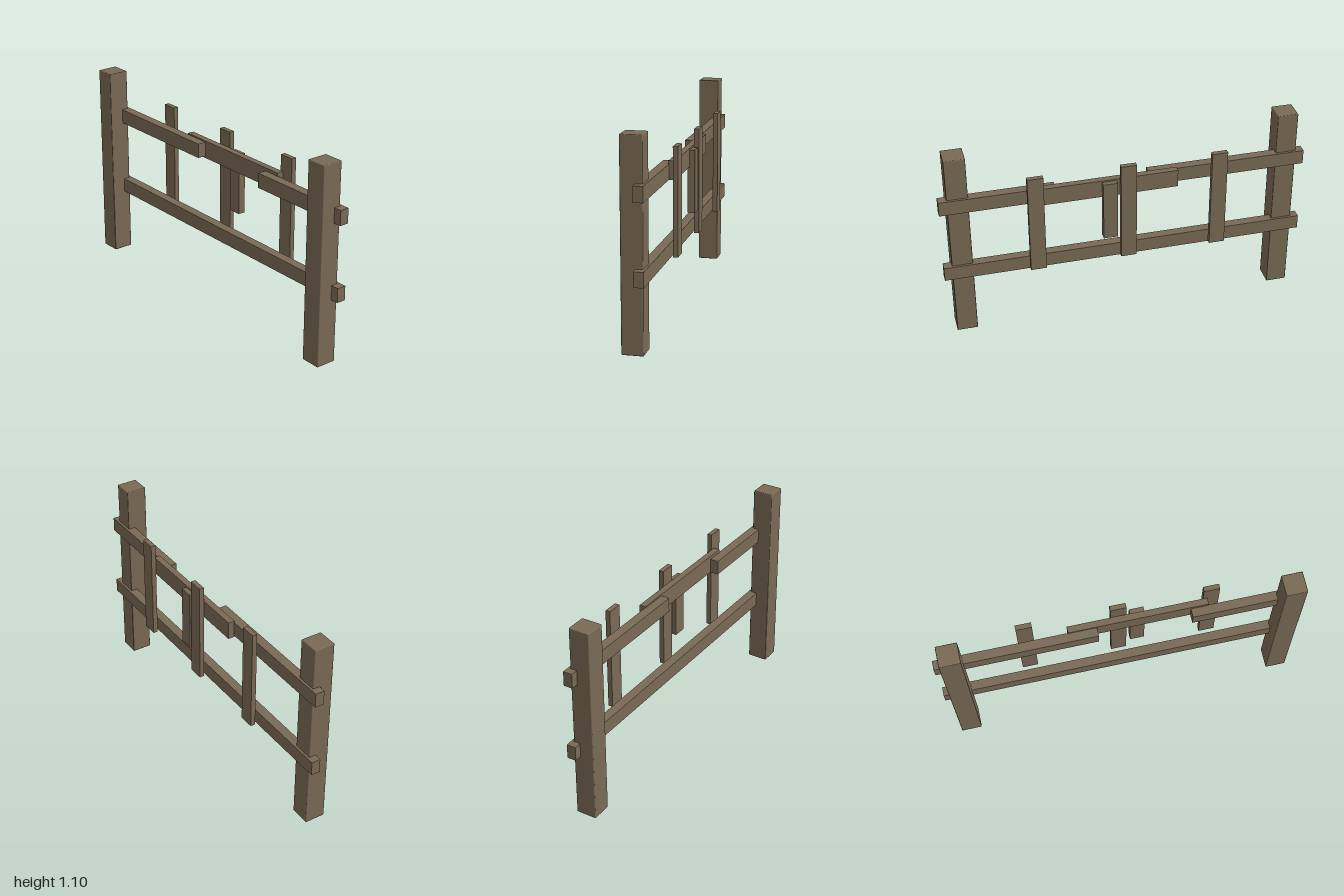
import * as THREE from 'three';
import { RoundedBoxGeometry } from 'three/addons/geometries/RoundedBoxGeometry.js';

export function createModel() {
  const group = new THREE.Group();
  group.name = 'brokenFence';
  const wood = new THREE.MeshStandardMaterial({ color: 0x7a6a55 });
  wood.name = 'weatheredWood';

  // Timber spanning [min, max] on each axis, with optional softened edges
  function timber(name, [x0, x1], [y0, y1], [z0, z1], bevel = 0) {
    const size = [x1 - x0, y1 - y0, z1 - z0];
    const geometry = bevel
      ? new RoundedBoxGeometry(...size, 2, bevel)
      : new THREE.BoxGeometry(...size);
    const mesh = new THREE.Mesh(geometry, wood);
    mesh.name = name;
    mesh.position.set((x0 + x1) / 2, (y0 + y1) / 2, (z0 + z1) / 2);
    group.add(mesh);
  }

  // End posts
  for (const [name, x] of [['leftPost', 0.898], ['rightPost', -0.902]]) {
    timber(name, [x - 0.057, x + 0.057], [0, 1.1], [-0.02, 0.095], 0.005);
  }

  // Whole lower rail, and the upper rail broken in two
  const railDepth = [-0.033, 0.018];
  timber('lowerRail', [-1, 1], [0.362, 0.442], railDepth);
  timber('upperRailRight', [-1, -0.125], [0.792, 0.873], railDepth);
  timber('upperRailLeft', [0.38, 1], [0.781, 0.863], railDepth);

  // Patch board bridging the gap behind the upper rail
  timber('patchBoard', [-0.28, 0.476], [0.781, 0.881], [-0.066, -0.03]);

  // Upright slats on the back
  for (const x of [-0.502, -0.002, 0.498]) {
    timber('slat', [x - 0.043, x + 0.043], [0.394, 0.969], [-0.096, -0.069]);
  }

  // Short broken slat
  timber('brokenSlat', [0.059, 0.137], [0.53, 0.872], [-0.094, -0.054]);

  return group;
}
